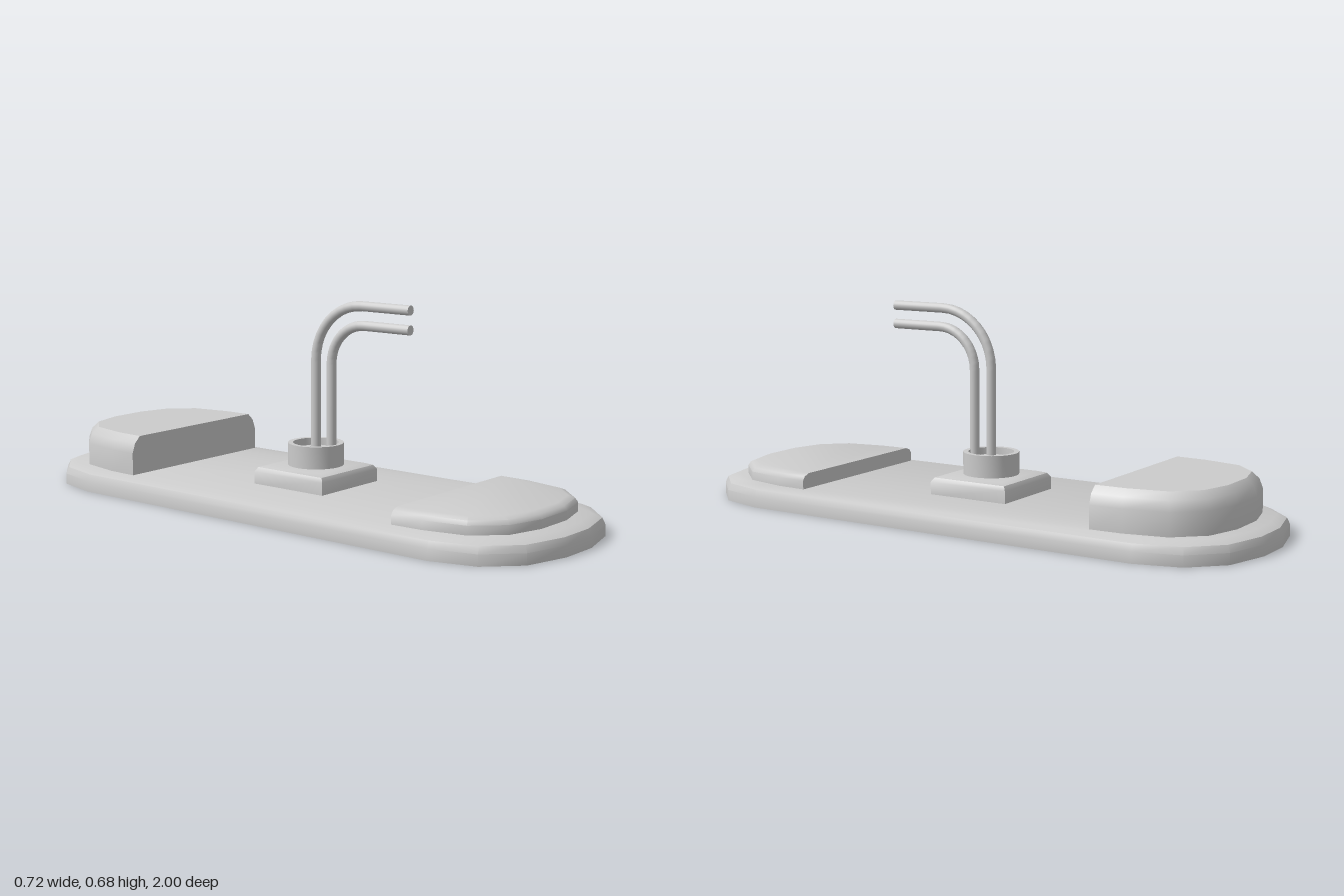
import * as THREE from 'three';
import { toCreasedNormals } from 'three/addons/utils/BufferGeometryUtils.js';

const grey = new THREE.MeshStandardMaterial({ color: 0xcccccc });
const greyDouble = new THREE.MeshStandardMaterial({ color: 0xcccccc, side: THREE.DoubleSide });

function add(parent, name, geometry, material = grey) {
  const mesh = new THREE.Mesh(geometry, material);
  mesh.name = name;
  parent.add(mesh);
  return mesh;
}

// Moves a convex outline of [x, z] points inward; an open outline keeps its end cut flat
function insetOutline(outline, d, closed) {
  const n = outline.length;
  const normal = (i) => {
    const a = outline[(i + n) % n], b = outline[(i + 1) % n];
    return new THREE.Vector2(b[1] - a[1], a[0] - b[0]).normalize();
  };
  return outline.map(([x, z], i) => {
    if (!closed && (i === 0 || i === n - 1)) return [x - Math.sign(x) * d, z];
    const n1 = normal(i - 1), n2 = normal(i);
    const k = d / (1 + n1.dot(n2));
    return [x - (n1.x + n2.x) * k, z - (n1.y + n2.y) * k];
  });
}

// Slab from a stack of [inset, height] rings, with flat top and bottom
function slab(outline, rings, closed, crease = 0.65) {
  const n = outline.length, pos = [], idx = [];
  for (const [d, y] of rings) {
    for (const [x, z] of insetOutline(outline, d, closed)) pos.push(x, y, z);
  }
  for (let r = 0; r < rings.length - 1; r++) {
    for (let i = 0; i < n; i++) {
      const a = r * n + i, b = r * n + (i + 1) % n;
      idx.push(a, a + n, b, b, a + n, b + n);
    }
  }
  const top = (rings.length - 1) * n;
  for (let i = 1; i < n - 1; i++) {
    idx.push(0, i, i + 1, top, top + i + 1, top + i);
  }
  const g = new THREE.BufferGeometry();
  g.setAttribute('position', new THREE.Float32BufferAttribute(pos, 3));
  g.setIndex(idx);
  return toCreasedNormals(g, crease);
}

const mirrorX = (pts) => [...pts, ...pts.map(([x, z]) => [-x, z]).reverse()];

// Pipe rising at z0, bending forward and ending at z = 0.38
function pipe(z0, height, radius) {
  const path = new THREE.CurvePath();
  const v = (y, z) => new THREE.Vector3(0, y, z);
  const pts = [v(0.16, z0), v(height - radius, z0)];
  for (let i = 1; i <= 10; i++) {
    const t = (i / 10) * Math.PI / 2;
    pts.push(v(height - radius + radius * Math.sin(t), z0 + radius * (1 - Math.cos(t))));
  }
  pts.push(v(height, 0.38));
  for (let i = 0; i < pts.length - 1; i++) path.add(new THREE.LineCurve3(pts[i], pts[i + 1]));
  return new THREE.TubeGeometry(path, 80, 0.016, 16, false);
}

export function createModel() {
  const model = new THREE.Group();
  model.name = 'fountain';

  // Base plate with rounded ends
  const end = mirrorX([[0.36, 0.71], [0.32, 0.86], [0.22, 0.96], [0.07, 1]]);
  const plate = [...end, ...end.map(([x, z]) => [-x, -z])];
  add(model, 'basePlate', slab(plate, [[0, 0], [0, 0.036], [0.01, 0.058], [0.04, 0.071]], true));

  // Low front pad and tall back pad, cut straight on the inner side
  const pad = mirrorX([[0.308, 0.542], [0.304, 0.65], [0.275, 0.79], [0.19, 0.88], [0.07, 0.913]]);
  add(model, 'frontPad', slab(pad, [[0, 0.065], [0, 0.1], [0.009, 0.113], [0.03, 0.121]], false));
  const back = add(model, 'backPad',
    slab(pad, [[0, 0.065], [0, 0.145], [0.012, 0.178], [0.035, 0.2]], false));
  back.rotation.y = Math.PI;

  // Square plinth with a softened top edge
  const s = 0.143;
  add(model, 'plinth', slab([[s, -s], [s, s], [-s, s], [-s, -s]],
    [[0, 0.065], [0, 0.112], [0.009, 0.126], [0.03, 0.133]], true));

  // Hollow collar with a raised inner ring
  const profile = [[0.092, 0.13], [0.092, 0.206], [0.075, 0.206], [0.075, 0.175],
    [0.048, 0.175], [0.048, 0.188], [0.026, 0.188], [0.026, 0.175], [0, 0.175]]
    .map(([r, y]) => new THREE.Vector2(r, y));
  add(model, 'collar', toCreasedNormals(new THREE.LatheGeometry(profile, 32), 0.6), greyDouble);

  // Two bent pipes with closed ends
  for (const [name, z0, height, radius] of [['upperPipe', 0, 0.667, 0.19], ['lowerPipe', 0.065, 0.605, 0.135]]) {
    const group = new THREE.Group();
    group.name = name;
    add(group, name + 'Tube', pipe(z0, height, radius));
    add(group, name + 'End', new THREE.CircleGeometry(0.016, 16)).position.set(0, height, 0.38);
    model.add(group);
  }
  return model;
}
